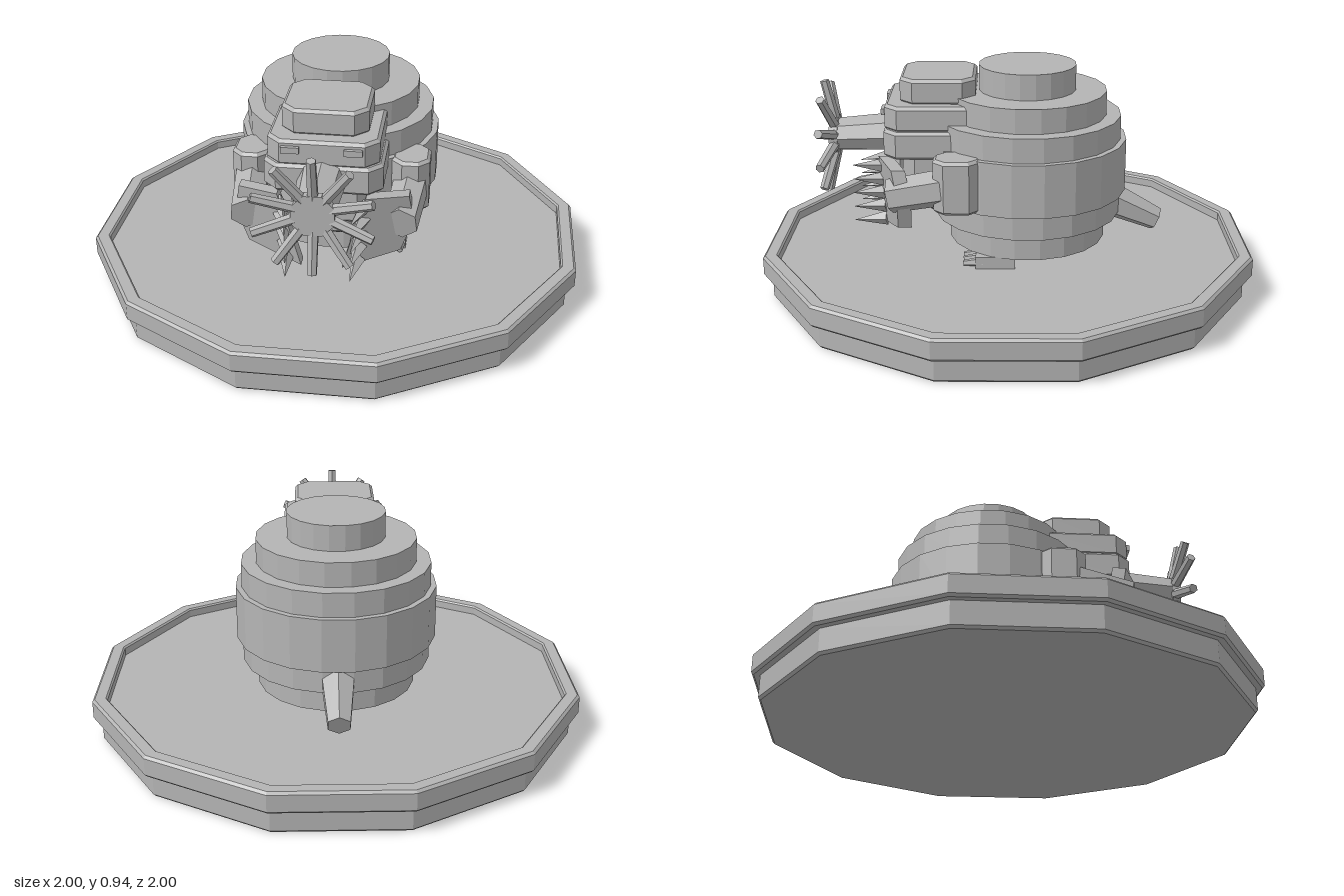
import * as THREE from 'three';

const stone = new THREE.MeshStandardMaterial({ color: 0xb4b4b4 });
stone.name = 'grey stone';

// Faceted mesh in the single colour
function part(parent, name, geometry, x = 0, y = 0, z = 0) {
  const g = geometry.index ? geometry.toNonIndexed() : geometry;
  g.computeVertexNormals();
  const mesh = new THREE.Mesh(g, stone);
  mesh.name = name;
  mesh.position.set(x, y, z);
  parent.add(mesh);
  return mesh;
}

function lathe(points, sides) {
  const profile = points.map(([r, y]) => new THREE.Vector2(r, y));
  return new THREE.LatheGeometry(profile, sides, Math.PI / sides);
}

// Block with cut corners in plan and small bevels above and below
function block(w, h, d, cut, b = 0.012) {
  const x = w / 2 - b, z = d / 2 - b;
  const s = new THREE.Shape([
    [x, -z + cut], [x, z - cut], [x - cut, z], [-x + cut, z],
    [-x, z - cut], [-x, -z + cut], [-x + cut, -z], [x - cut, -z],
  ].map(([px, py]) => new THREE.Vector2(px, py)));
  const g = new THREE.ExtrudeGeometry(s, {
    depth: h - 2 * b, bevelEnabled: true, bevelSize: b, bevelThickness: b, bevelSegments: 1,
  });
  return g.translate(0, 0, b - h / 2).rotateX(-Math.PI / 2);
}

// Tapered rod running from one point to another
function rod(parent, name, from, to, r1, r2, sides) {
  const a = new THREE.Vector3(...from), b = new THREE.Vector3(...to);
  const dir = b.clone().sub(a);
  const mesh = part(parent, name, new THREE.CylinderGeometry(r2, r1, dir.length(), sides));
  mesh.position.copy(a).add(b).multiplyScalar(0.5);
  mesh.quaternion.setFromUnitVectors(new THREE.Vector3(0, 1, 0), dir.normalize());
  return mesh;
}

// Slanted digging paw: an extruded outline sheared toward the middle front
function pawGeometry(side) {
  const s = new THREE.Shape([
    [0.08, 0.28], [0.30, 0.33], [0.35, 0.46], [0.33, 0.58], [0.17, 0.59], [0.13, 0.46],
  ].map(([x, y]) => new THREE.Vector2(x, y)));
  const g = new THREE.ExtrudeGeometry(s, { depth: 0.055, bevelEnabled: false });
  const p = g.attributes.position;
  for (let i = 0; i < p.count; i++) {
    const x = p.getX(i), y = p.getY(i);
    p.setZ(i, p.getZ(i) + 0.47 - 0.4 * (x - 0.12) + 0.12 * (y - 0.44));
  }
  if (side < 0) {
    // Mirror and swap two corners of each triangle to keep faces outward
    for (let i = 0; i < p.count; i++) p.setX(i, -p.getX(i));
    for (let i = 0; i < p.count; i += 3) {
      const v1 = new THREE.Vector3().fromBufferAttribute(p, i + 1);
      const v2 = new THREE.Vector3().fromBufferAttribute(p, i + 2);
      p.setXYZ(i + 1, v2.x, v2.y, v2.z);
      p.setXYZ(i + 2, v1.x, v1.y, v1.z);
    }
  }
  return g;
}

export function createModel() {
  const model = new THREE.Group();
  model.name = 'moleOnBase';

  // Twelve-sided base with a raised rim
  part(model, 'base', lathe([
    [0, 0], [0.99, 0], [1.0, 0.01], [1.0, 0.1], [1.025, 0.1], [1.035, 0.11], [1.035, 0.18],
    [1.025, 0.19], [0.98, 0.19], [0.973, 0.183], [0.973, 0.15], [0, 0.15],
  ], 12));

  // Stepped round body
  part(model, 'body', lathe([
    [0, 0.11], [0.2, 0.11], [0.2, 0.2], [0.327, 0.2], [0.327, 0.31], [0.388, 0.31], [0.388, 0.41],
    [0.412, 0.41], [0.412, 0.63], [0.388, 0.63], [0.388, 0.73], [0.327, 0.73], [0.327, 0.83],
    [0.2, 0.83], [0.2, 0.935], [0, 0.935],
  ], 20), 0, 0, -0.08);

  // Tail
  rod(model, 'tail', [0, 0.37, -0.38], [0, 0.255, -0.63], 0.08, 0.05, 6);

  // Head of stacked blocks: width, bottom, top, back, front
  const head = new THREE.Group();
  head.name = 'head';
  model.add(head);
  const layers = [
    [0.24, 0.32, 0.45, 0.05, 0.33],
    [0.36, 0.43, 0.61, 0.07, 0.43],
    [0.46, 0.59, 0.705, 0.07, 0.5],
    [0.43, 0.70, 0.805, 0.1, 0.495],
    [0.335, 0.80, 0.905, 0.13, 0.435],
  ];
  for (const [w, y0, y1, z0, z1] of layers) {
    part(head, 'headBlock', block(w, y1 - y0, z1 - z0, 0.045), 0, (y0 + y1) / 2, (z0 + z1) / 2);
  }
  for (const side of [1, -1]) {
    part(head, 'eye', new THREE.BoxGeometry(0.07, 0.025, 0.03), side * 0.12, 0.77, 0.495);
  }

  // Snout and star of ten feelers
  const snout = rod(head, 'snout', [0, 0.645, 0.42], [0, 0.63, 0.73], 0.1, 0.08, 8);
  snout.scale.z = 0.85;
  const star = new THREE.Group();
  star.name = 'noseStar';
  star.position.set(0, 0.625, 0.72);
  head.add(star);
  part(star, 'noseDisc', new THREE.CylinderGeometry(0.088, 0.088, 0.035, 8, 1, false, Math.PI / 8).rotateX(Math.PI / 2));
  for (let i = 0; i < 10; i++) {
    const a = Math.PI / 2 + (i * Math.PI) / 5, c = Math.cos(a), s = Math.sin(a);
    rod(star, 'feeler', [c * 0.06, s * 0.06, -0.005], [c * 0.235, s * 0.235, 0.035], 0.022, 0.019, 6);
  }

  // Arms, paws, claws and feet, mirrored
  for (const side of [1, -1]) {
    const arm = new THREE.Group();
    arm.name = side > 0 ? 'leftArm' : 'rightArm';
    model.add(arm);
    part(arm, 'shoulder', block(0.15, 0.22, 0.185, 0.035), side * 0.32, 0.525, 0.2);
    rod(arm, 'forearm', [side * 0.325, 0.52, 0.2], [side * 0.3, 0.465, 0.47], 0.075, 0.07, 6);
    part(arm, 'paw', pawGeometry(side));
    for (let i = 0; i < 5; i++) {
      const y = 0.31 + i * 0.06;
      rod(arm, 'claw', [side * (0.14 + i * 0.007), y, 0.5], [side * 0.125, y - 0.015, 0.635], 0.03, 0.001, 4);
    }
    const foot = new THREE.Group();
    foot.name = side > 0 ? 'leftFoot' : 'rightFoot';
    model.add(foot);
    part(foot, 'sole', new THREE.BoxGeometry(0.13, 0.055, 0.16), side * 0.235, 0.173, 0.05);
    for (let i = -1; i <= 1; i++) {
      const x = side * (0.235 + i * 0.045);
      rod(foot, 'toe', [x, 0.175, 0.1], [x, 0.168, 0.18], 0.022, 0.012, 5);
    }
  }
  return model;
}
